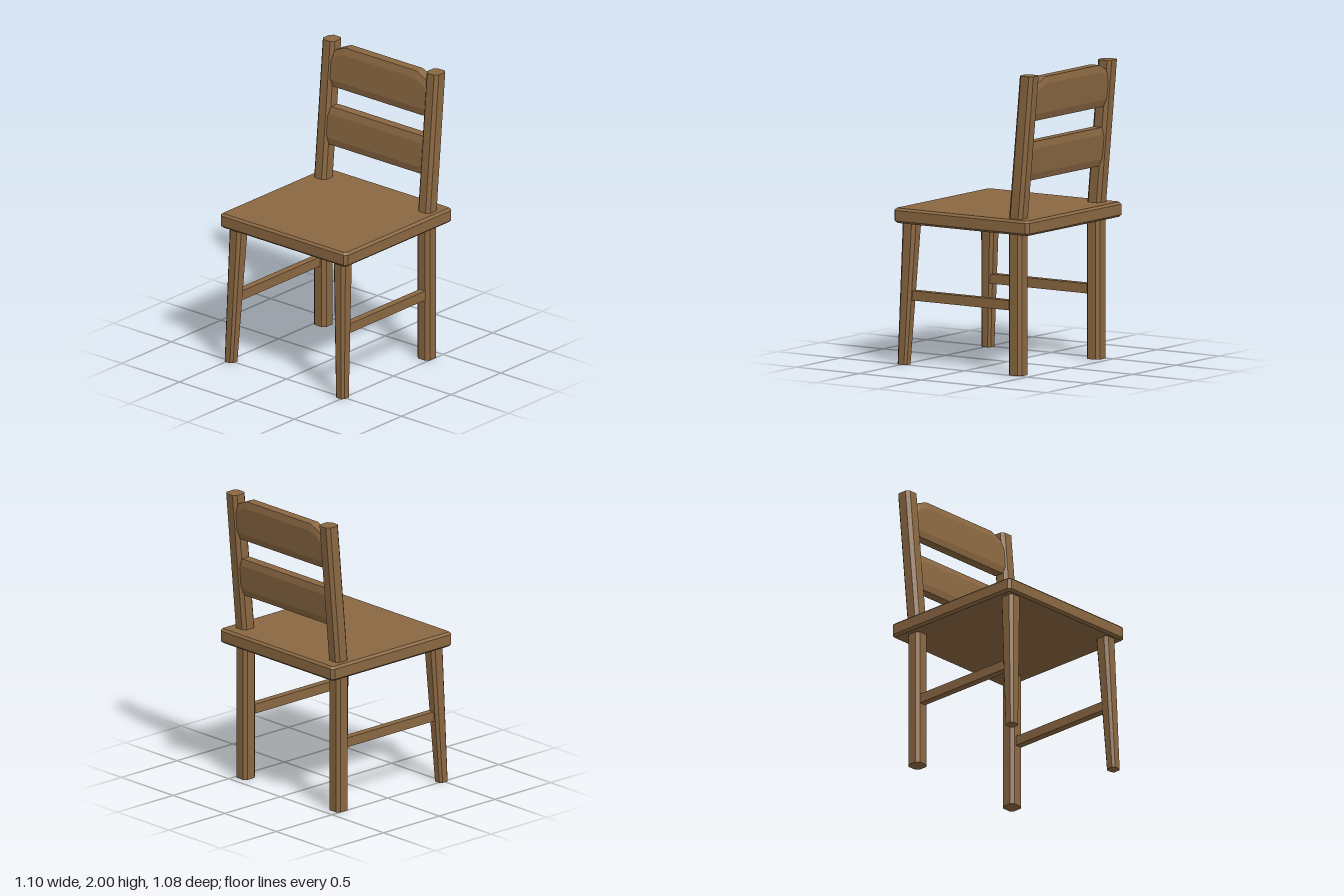
import * as THREE from 'three';

// Skin a stack of equal-length rings, with flat caps on both ends.
function loft(rings) {
  const n = rings[0].length, index = [];
  for (let r = 0; r < rings.length - 1; r++) {
    for (let i = 0; i < n; i++) {
      const a = r * n + i, b = r * n + (i + 1) % n;
      index.push(a, b, b + n, a, b + n, a + n);
    }
  }
  const last = (rings.length - 1) * n;
  for (let i = 1; i < n - 1; i++) {
    index.push(0, i + 1, i, last, last + i, last + i + 1);
  }
  const geometry = new THREE.BufferGeometry();
  geometry.setAttribute('position', new THREE.Float32BufferAttribute(rings.flat(2), 3));
  geometry.setIndex(index);
  const flat = geometry.toNonIndexed();
  flat.computeVertexNormals();
  return flat;
}

// Horizontal rectangle with cut corners.
function cutRect(y, cx, cz, hx, hz, c) {
  return [
    [hx, hz - c], [hx, c - hz], [hx - c, -hz], [c - hx, -hz],
    [-hx, c - hz], [-hx, hz - c], [c - hx, hz], [hx - c, hz],
  ].map(([x, z]) => [cx + x, y, cz + z]);
}

// Backward lean of the backrest at a given height.
const leanZ = (y) => -0.398 - (y - 1.04) * 0.0905;

// Bevelled slat section, sheared to follow the lean.
function slatRing(x, bottom, top) {
  const t = 0.033, f = 0.045, b = 0.047;
  return [
    [top, t], [top - b, f], [bottom + b, f], [bottom, t],
    [bottom, -t], [bottom + b, -f], [top - b, -f], [top, -t],
  ].map(([y, z]) => [x, y, leanZ(y) + z]);
}

export function createModel() {
  const group = new THREE.Group();
  const wood = new THREE.MeshStandardMaterial({ color: 0x8b6842 });
  wood.name = 'brown wood';

  const add = (name, geometry) => {
    const mesh = new THREE.Mesh(geometry, wood);
    mesh.name = name;
    group.add(mesh);
    return mesh;
  };

  // Seat board with bevelled edges
  add('seat', loft([
    cutRect(0.945, 0, 0, 0.535, 0.525, 0.012),
    cutRect(0.96, 0, 0, 0.552, 0.541, 0.02),
    cutRect(1.03, 0, 0, 0.552, 0.541, 0.02),
    cutRect(1.045, 0, 0, 0.535, 0.525, 0.012),
  ]));

  for (const [side, s] of [['left', 1], ['right', -1]]) {
    // Tapered, splayed front leg
    add(side + 'FrontLeg', loft([
      cutRect(0, s * 0.484, 0.497, 0.036, 0.037, 0.015),
      cutRect(0.946, s * 0.452, 0.456, 0.05, 0.053, 0.021),
    ]));
    // Straight rear leg
    add(side + 'RearLeg', loft([0, 0.946].map(
      (y) => cutRect(y, s * 0.45, -0.394, 0.053, 0.053, 0.022))));
    // Leaning back post
    add(side + 'BackPost', loft([1.04, 2].map(
      (y) => cutRect(y, s * 0.452, leanZ(y), 0.052, 0.054, 0.022))));
    // Side stretcher between the legs
    const bar = add(side + 'Stretcher', new THREE.BoxGeometry(0.05, 0.065, 0.8));
    bar.position.set(s * 0.457, 0.462, 0.05);
  }

  // Backrest slats: half profiles (x, bottom, top) mirrored across the middle
  const slat = (name, half) => add(name, loft([
    ...half.map(([x, b, t]) => slatRing(-x, b, t)),
    ...[...half].reverse().map(([x, b, t]) => slatRing(x, b, t)),
  ]));
  slat('upperSlat', [[0.412, 1.705, 1.915], [0.39, 1.692, 1.945], [0.31, 1.692, 1.98]]);
  slat('lowerSlat', [[0.412, 1.308, 1.532], [0.395, 1.292, 1.552]]);

  return group;
}
